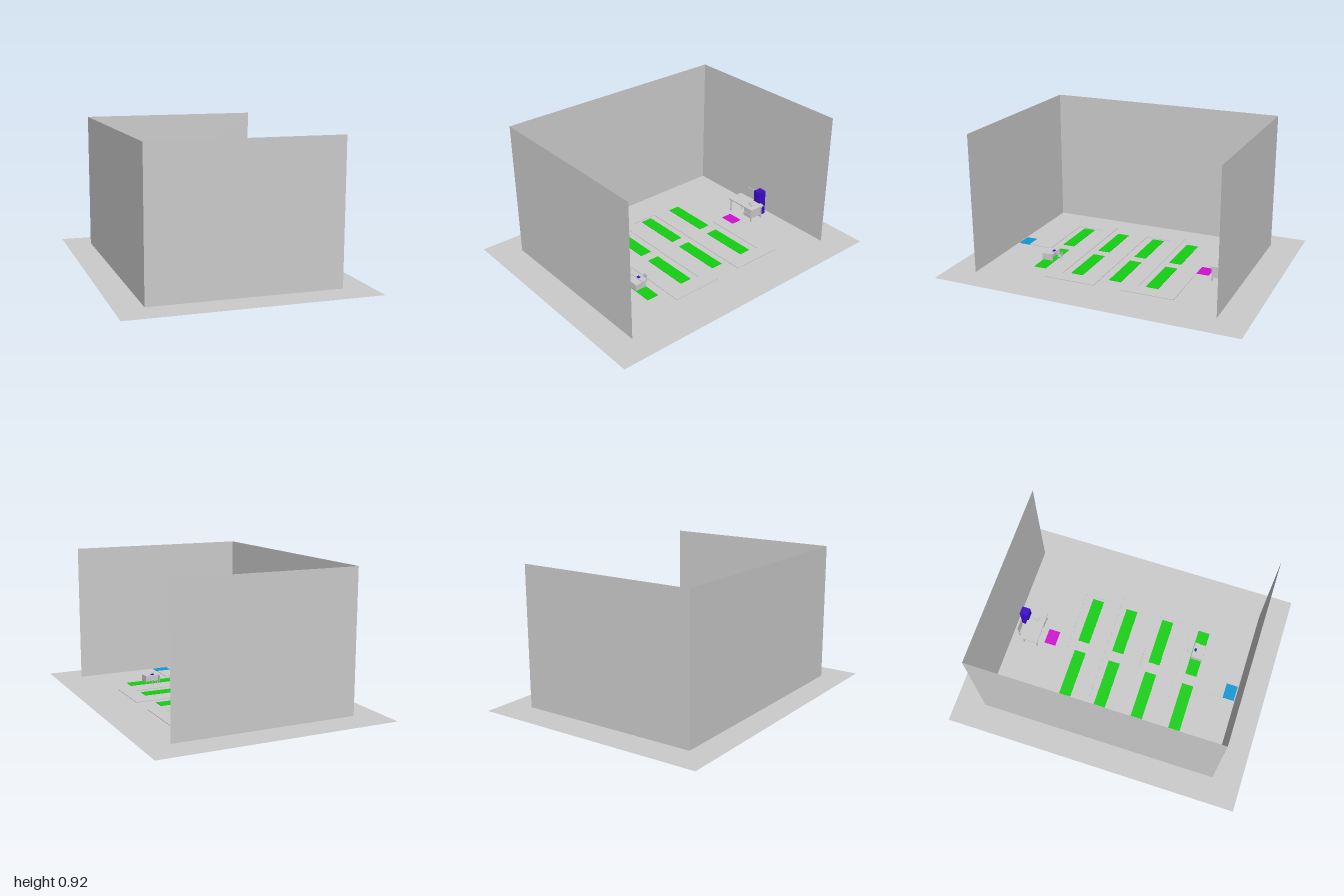
import * as THREE from 'three';

const mat = (color) => new THREE.MeshStandardMaterial({ color, flatShading: true });
const grey = mat(0xcccccc);
const thin = new THREE.MeshStandardMaterial({ color: 0xcccccc, side: THREE.DoubleSide });
const green = mat(0x14d012), blue = mat(0x0d98d6), magenta = mat(0xd010d0), indigo = mat(0x3c0cc8);

// Box given by its minimum and maximum corners
function box(parent, name, x0, x1, y0, y1, z0, z1, material = grey) {
  const mesh = new THREE.Mesh(new THREE.BoxGeometry(x1 - x0, y1 - y0, z1 - z0), material);
  mesh.position.set((x0 + x1) / 2, (y0 + y1) / 2, (z0 + z1) / 2);
  mesh.name = name;
  parent.add(mesh);
  return mesh;
}

// Thin sheet, turned into place
function sheet(parent, name, w, h, pos, rot) {
  const mesh = new THREE.Mesh(new THREE.PlaneGeometry(w, h), thin);
  mesh.position.set(...pos);
  mesh.rotation.set(...rot);
  mesh.name = name;
  parent.add(mesh);
}

// Four square legs inside a rectangle
function legs(parent, name, x0, x1, z0, z1, y0, y1, t) {
  for (const x of [x0, x1 - t])
    for (const z of [z0, z1 - t]) box(parent, name, x, x + t, y0, y1, z, z + t);
}

// Chair with its back at the low z side
function chair(parent, name, x0, x1, z0, z1, seatY, topY, t) {
  const g = new THREE.Group();
  g.name = name;
  legs(g, 'chairLeg', x0, x1, z0, z1, 0.004, seatY, t);
  box(g, 'chairSeat', x0, x1, seatY, seatY + t, z0, z1);
  box(g, 'chairBack', x0, x1, seatY + t, topY, z0, z0 + t);
  parent.add(g);
}

export function createModel() {
  const model = new THREE.Group();
  model.name = 'room';
  const floorY = 0.006;

  // Floor and three walls, open on the +x side
  sheet(model, 'floor', 1.55, 2, [0, floorY, 0], [-Math.PI / 2, 0, 0]);
  const wallH = 0.91, wallY = 0.008 + wallH / 2;
  sheet(model, 'frontWall', 1.2, wallH, [0, wallY, 0.81], [0, 0, 0]);
  sheet(model, 'backWall', 1.2, wallH, [0, wallY, -0.8], [0, 0, 0]);
  sheet(model, 'sideWall', 1.61, wallH, [-0.6, wallY, 0.005], [0, Math.PI / 2, 0]);

  // Winding path, one outline in x and z
  const outline = [
    [-0.05, -0.49], [0.475, -0.49], [0.475, -0.145], [-0.385, -0.145], [-0.385, 0.035],
    [0.48, 0.035], [0.48, 0.375], [-0.385, 0.375], [-0.385, 0.56], [0.055, 0.56],
    [0.055, 0.725], [-0.05, 0.725], [-0.05, 0.64], [-0.47, 0.64], [-0.47, 0.295],
    [0.385, 0.295], [0.385, 0.115], [-0.47, 0.115], [-0.47, -0.225], [0.385, -0.225],
    [0.385, -0.405], [-0.05, -0.405],
  ];
  const shape = new THREE.Shape(outline.map(([x, z]) => new THREE.Vector2(x, -z)));
  const path = new THREE.Mesh(
    new THREE.ExtrudeGeometry(shape, { depth: 0.01, bevelEnabled: false }), grey);
  path.rotation.x = -Math.PI / 2;
  path.name = 'path';
  model.add(path);

  // Start and end tiles
  box(model, 'startTile', -0.05, 0.055, 0, 0.01, 0.725, 0.803, blue);
  box(model, 'endTile', -0.05, 0.055, 0, 0.01, -0.57, -0.49, magenta);

  // Green beds, two per row
  for (const z of [-0.35, -0.1, 0.165, 0.432])
    for (const x of [-0.367, 0.037])
      box(model, 'greenBed', x, x + 0.33, floorY, 0.009, z, z + 0.08, green);

  // Large desk with a drawer pedestal
  const desk = new THREE.Group();
  desk.name = 'desk';
  box(desk, 'deskTop', -0.1, 0.13, 0.097, 0.106, -0.72, -0.6);
  legs(desk, 'deskLeg', -0.09, 0.12, -0.712, -0.608, 0.004, 0.097, 0.008);
  box(desk, 'drawerPedestal', 0.045, 0.118, 0.03, 0.097, -0.7, -0.61);
  for (const y of [0.036, 0.067])
    box(desk, 'drawerFront', 0.05, 0.113, y, y + 0.026, -0.61, -0.606);
  model.add(desk);

  // Small device on the desk, slightly turned
  const device = new THREE.Group();
  device.name = 'deskDevice';
  box(device, 'deviceBase', -0.018, 0.018, 0, 0.006, -0.015, 0.015);
  box(device, 'deviceHandset', -0.02, -0.01, 0.006, 0.013, -0.018, 0.018);
  device.position.set(0.075, 0.106, -0.66);
  device.rotation.y = -0.3;
  model.add(device);

  // Chair and cabinet behind the desk
  chair(model, 'deskChair', -0.055, 0.01, -0.755, -0.685, 0.055, 0.16, 0.006);
  box(model, 'cabinet', 0.04, 0.095, 0.007, 0.187, -0.768, -0.71, indigo);

  // Small reception desk with its chair
  const counter = new THREE.Group();
  counter.name = 'counter';
  box(counter, 'counterBody', 0.15, 0.255, 0.014, 0.057, 0.465, 0.515);
  box(counter, 'counterTop', 0.148, 0.257, 0.057, 0.062, 0.437, 0.465);
  for (const x of [0.15, 0.25]) box(counter, 'counterSide', x, x + 0.005, 0.014, 0.057, 0.44, 0.465);
  legs(counter, 'counterFoot', 0.15, 0.255, 0.44, 0.515, 0.004, 0.014, 0.005);
  box(counter, 'counterDevice', 0.194, 0.214, 0.062, 0.067, 0.446, 0.461, indigo);
  model.add(counter);
  chair(model, 'counterChair', 0.188, 0.218, 0.398, 0.424, 0.032, 0.062, 0.003);

  return model;
}
